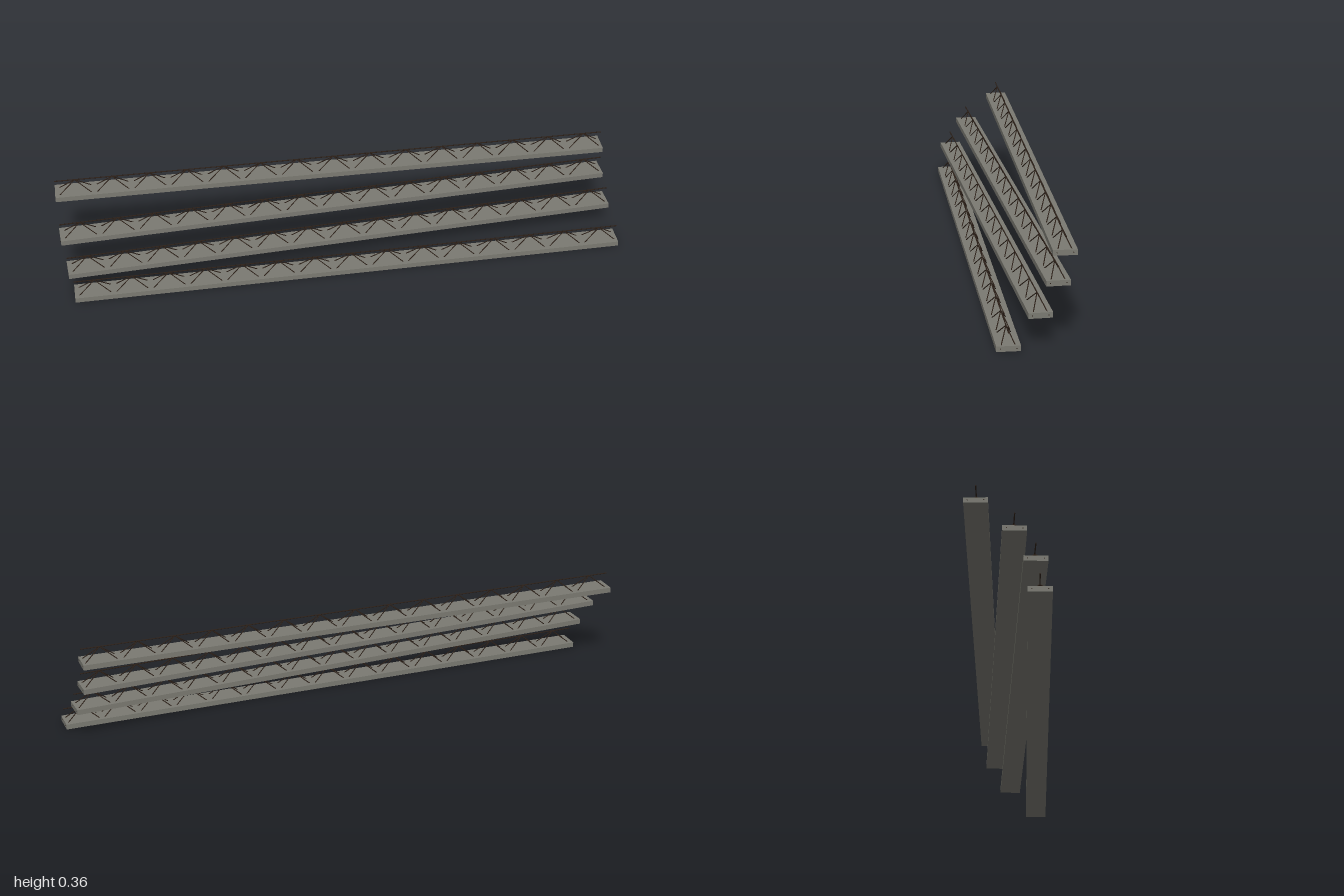
import * as THREE from 'three';

const LENGTH = 1.972, WIDTH = 0.078, THICK = 0.0185;
const CHORD_Y = 0.062, BAR_Y = 0.0095, BAR_Z = 0.026;
const BAYS = 15, PITCH = 0.131;

const concrete = new THREE.MeshStandardMaterial({ name: 'concrete grey', color: 0x7b7a72 });
const steel = new THREE.MeshStandardMaterial({ name: 'rusty dark steel', color: 0x2c2018 });

// Round bar between two points
function bar(name, a, b, radius) {
  const dir = b.clone().sub(a);
  const mesh = new THREE.Mesh(new THREE.CylinderGeometry(radius, radius, dir.length(), 8), steel);
  mesh.name = name;
  mesh.position.copy(a).add(b).multiplyScalar(0.5);
  mesh.quaternion.setFromUnitVectors(new THREE.Vector3(0, 1, 0), dir.normalize());
  return mesh;
}

// Concrete plank with a triangular lattice girder cast into it
function createPlank() {
  const plank = new THREE.Group();
  const slab = new THREE.Mesh(new THREE.BoxGeometry(LENGTH, THICK, WIDTH), concrete);
  slab.name = 'slab';
  slab.position.y = THICK / 2;
  plank.add(slab);

  // Top chord runs the full length
  const half = LENGTH / 2;
  plank.add(bar('topChord', new THREE.Vector3(-half, CHORD_Y, 0), new THREE.Vector3(half, CHORD_Y, 0), 0.002));

  for (const side of [-1, 1]) {
    const z = side * BAR_Z;
    // Bottom bars just show at the slab ends
    const end = half + 0.0005;
    plank.add(bar('bottomBar', new THREE.Vector3(-end, BAR_Y, z), new THREE.Vector3(end, BAR_Y, z), 0.0017));

    // Zigzag diagonals, a peak in every bay
    for (let i = 0; i < BAYS; i++) {
      const x = (i - (BAYS - 1) / 2) * PITCH + 0.003;
      const peak = new THREE.Vector3(x, CHORD_Y, 0);
      for (const way of [-1, 1]) {
        const foot = new THREE.Vector3(x + way * PITCH / 2, BAR_Y, z);
        plank.add(bar('diagonal', foot, peak, 0.0017));
      }
    }
  }
  return plank;
}

export function createModel() {
  const model = new THREE.Group();
  model.name = 'latticePlanks';
  // Centre x, base y, centre z and slope of z along x for each plank
  const planks = [
    [0.012, 0.001, 0.102, 0.0413],
    [-0.002, 0.1, 0.0435, -0.0045],
    [-0.014, 0.199, -0.0185, 0],
    [-0.013, 0.298, -0.09, 0.052],
  ];
  planks.forEach(([x, y, z, slope], i) => {
    const plank = createPlank();
    plank.name = 'plank' + (i + 1);
    plank.position.set(x, y, z);
    plank.rotation.y = -Math.atan(slope);
    model.add(plank);
  });
  return model;
}
